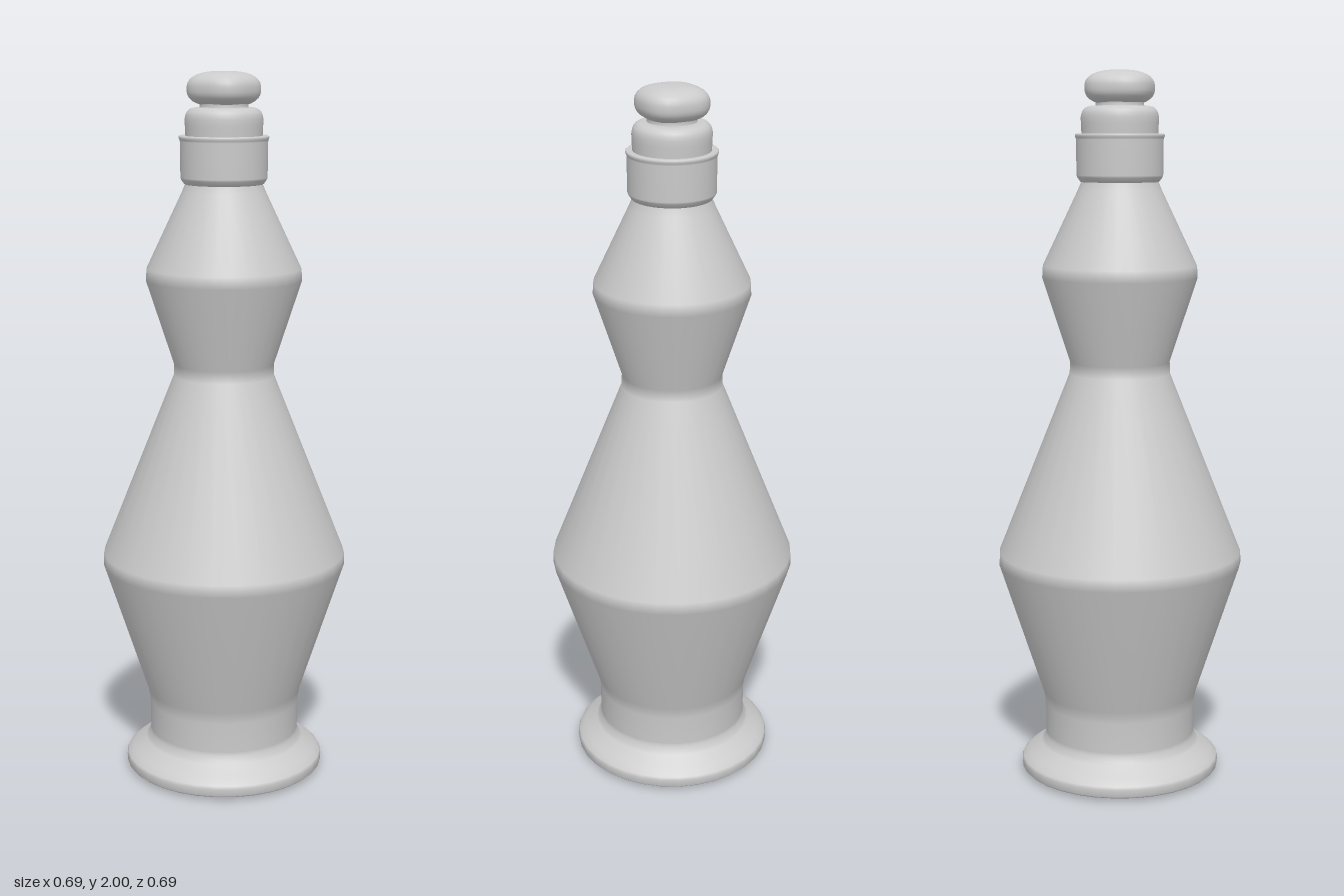
import * as THREE from 'three';

const material = new THREE.MeshStandardMaterial({ color: 0xcccccc });

// Replaces each inner corner of a profile with a small bevel, so shading turns only near the edge
function bevelProfile(points, size) {
  const p = points.map(([r, y]) => new THREE.Vector2(r, y));
  const out = [p[0]];
  for (let i = 1; i < p.length - 1; i++) {
    for (const q of [p[i - 1], p[i + 1]]) {
      const d = p[i].distanceTo(q);
      out.push(p[i].clone().lerp(q, Math.min(size, d * 0.3) / d));
    }
  }
  out.push(p[p.length - 1]);
  return out;
}

function turned(name, points, bevel) {
  const mesh = new THREE.Mesh(new THREE.LatheGeometry(bevelProfile(points, bevel), 32), material);
  mesh.name = name;
  return mesh;
}

// Sphere pushed out to a softly squared pebble
function softKnob(rx, ry, power) {
  const geo = new THREE.SphereGeometry(1, 32, 20);
  const pos = geo.attributes.position;
  const v = new THREE.Vector3();
  for (let i = 0; i < pos.count; i++) {
    v.fromBufferAttribute(pos, i);
    const n = Math.abs(v.x) ** power + Math.abs(v.y) ** power + Math.abs(v.z) ** power;
    v.multiplyScalar(n ** (-1 / power));
    pos.setXYZ(i, v.x * rx, v.y * ry, v.z * rx);
  }
  geo.computeVertexNormals();
  // Keep the seam smooth
  const nor = geo.attributes.normal;
  for (let i = 0; i < pos.count; i++) {
    v.fromBufferAttribute(pos, i);
    v.set(
      Math.sign(v.x) * Math.abs(v.x / rx) ** (power - 1) / rx,
      Math.sign(v.y) * Math.abs(v.y / ry) ** (power - 1) / ry,
      Math.sign(v.z) * Math.abs(v.z / rx) ** (power - 1) / rx
    ).normalize();
    nor.setXYZ(i, v.x, v.y, v.z);
  }
  return geo;
}

export function createModel() {
  const bottle = new THREE.Group();
  bottle.name = 'bottle';

  // Flared foot, closed underneath
  bottle.add(turned('foot', [
    [0, 0], [0.23, 0], [0.23, 0.007], [0.284, 0.01], [0.286, 0.04],
    [0.265, 0.058], [0.225, 0.088], [0.215, 0.11], [0.215, 0.14],
  ], 0.005));

  // Body with two waisted swells
  bottle.add(turned('body', [
    [0.215, 0.11], [0.216, 0.22], [0.352, 0.635], [0.135, 1.18],
    [0.223, 1.45], [0.109, 1.69], [0.1, 1.72],
  ], 0.018));

  // Collar around the neck
  bottle.add(turned('collar', [
    [0.09, 1.695], [0.108, 1.695], [0.12, 1.712], [0.121, 1.815],
    [0.124, 1.819], [0.124, 1.828], [0.115, 1.828], [0.09, 1.826],
  ], 0.003));

  // Cap rising from the collar
  bottle.add(turned('cap', [
    [0.105, 1.81], [0.107, 1.85], [0.108, 1.878], [0.1, 1.896], [0.085, 1.903], [0, 1.905],
  ], 0.006));

  // Stopper stem and knob
  bottle.add(turned('stopperStem', [[0.07, 1.89], [0.066, 1.91], [0.07, 1.925]], 0.004));
  const knob = new THREE.Mesh(softKnob(0.094, 0.048, 2.6), material);
  knob.name = 'stopperKnob';
  knob.position.y = 1.952;
  bottle.add(knob);

  return bottle;
}
